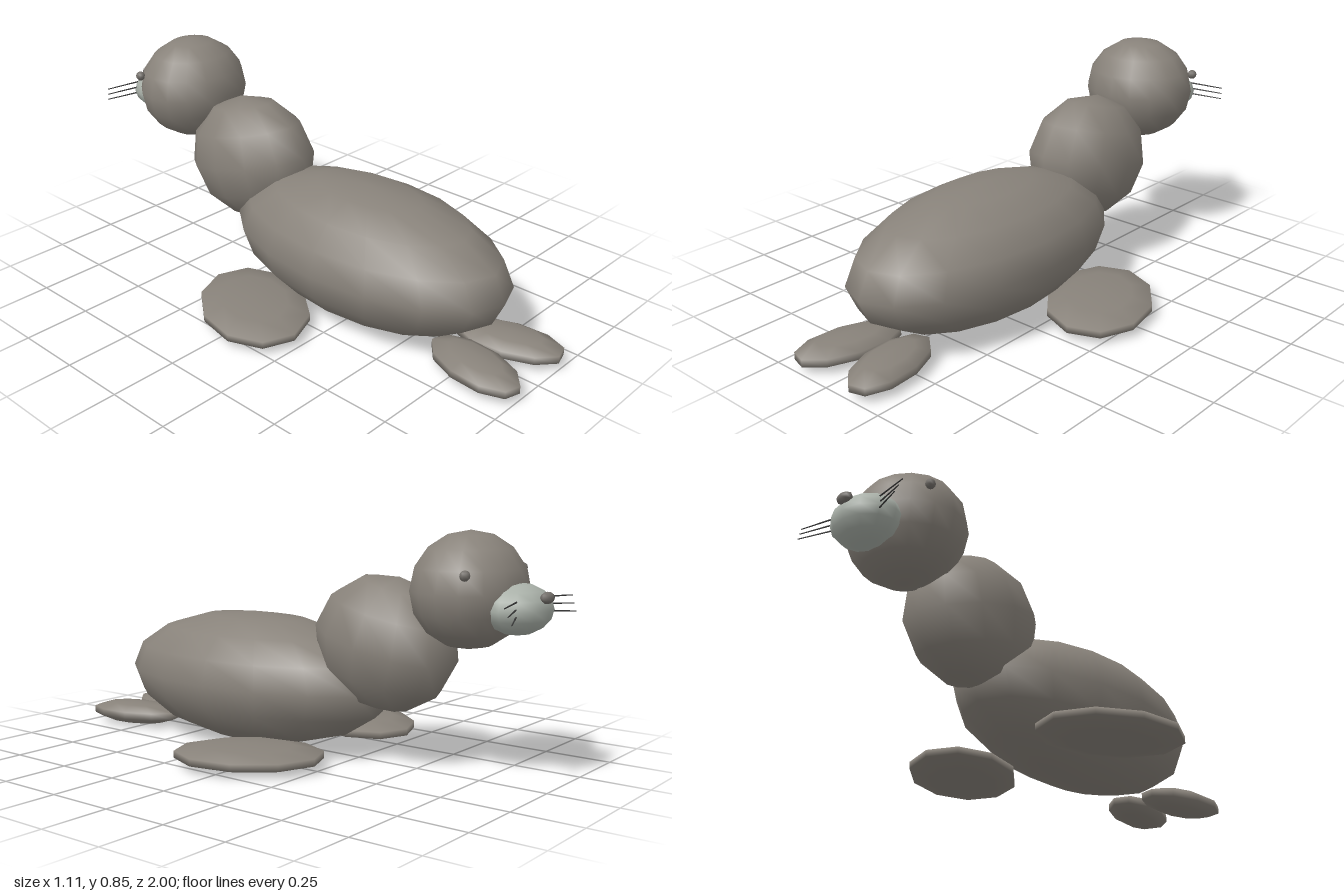
import * as THREE from 'three';

const mat = (name, color) => Object.assign(new THREE.MeshStandardMaterial({ color }), { name });

export function createModel() {
  const fur = mat('fur grey', 0x88827a);
  const pale = mat('muzzle grey', 0xa9b0a8);
  const dark = mat('eye and nose grey', 0x74706b);
  const whiskerMat = mat('whisker charcoal', 0x3a3a3a);

  const seal = new THREE.Group();
  seal.name = 'seal';

  // Ellipsoid with its own radii, position and pitch
  function blob(name, material, [w, h], radii, position, pitch = 0) {
    const geo = new THREE.SphereGeometry(1, w, h).scale(...radii);
    const mesh = new THREE.Mesh(geo, material);
    mesh.name = name;
    mesh.position.set(...position);
    mesh.rotation.x = pitch;
    seal.add(mesh);
  }

  // Flat paddle: long and cross are its half-axes (x, z) on the left side
  function flipper(name, side, position, thick, long, cross) {
    const basis = new THREE.Matrix4().makeBasis(
      new THREE.Vector3(side * long[0], 0, long[1]),
      new THREE.Vector3(0, thick, 0),
      new THREE.Vector3(cross[0], 0, side * cross[1]));
    const geo = new THREE.SphereGeometry(1, 10, 5).applyMatrix4(basis);
    const mesh = new THREE.Mesh(geo, fur);
    mesh.name = name;
    mesh.position.set(side * position[0], position[1], position[2]);
    seal.add(mesh);
  }

  // Thin straight hair between two points
  function whisker(name, from, to) {
    const a = new THREE.Vector3(...from);
    const b = new THREE.Vector3(...to);
    const dir = b.clone().sub(a);
    const mesh = new THREE.Mesh(new THREE.CylinderGeometry(0.002, 0.003, dir.length(), 5), whiskerMat);
    mesh.name = name;
    mesh.position.copy(a).add(b).multiplyScalar(0.5);
    mesh.quaternion.setFromUnitVectors(new THREE.Vector3(0, 1, 0), dir.normalize());
    seal.add(mesh);
  }

  // Trunk, neck and head
  blob('body', fur, [16, 8], [0.315, 0.25, 0.605], [0, 0.255, 0.24]);
  blob('neck', fur, [12, 6], [0.2, 0.243, 0.282], [0, 0.44, -0.363], -0.23);
  blob('head', fur, [16, 8], [0.22, 0.2, 0.198], [0, 0.65, -0.698]);
  blob('muzzle', pale, [12, 8], [0.135, 0.086, 0.11], [0, 0.6, -0.878]);
  blob('nose', dark, [8, 6], [0.034, 0.02, 0.02], [0, 0.643, -0.98]);

  for (const side of [1, -1]) {
    const label = side > 0 ? 'left' : 'right';
    blob(label + 'Eye', dark, [8, 6], [0.018, 0.018, 0.018], [side * 0.194, 0.716, -0.79]);
    flipper(label + 'FrontFlipper', side, [0.34, 0.046, -0.013], 0.042, [0.1735, 0.221], [-0.147, 0.1525]);
    flipper(label + 'TailFlipper', side, [0.104, 0.05, 0.81], 0.045, [0.076, 0.184], [-0.081, 0.091]);

    // Three whiskers fanning forward and out
    for (let i = 0; i < 3; i++) {
      whisker(label + 'Whisker' + (i + 1),
        [side * 0.1, 0.635 - i * 0.023, -0.925],
        [side * (0.237 - i * 0.006), 0.63 - i * 0.026, -0.955 - i * 0.01]);
    }
  }
  return seal;
}
